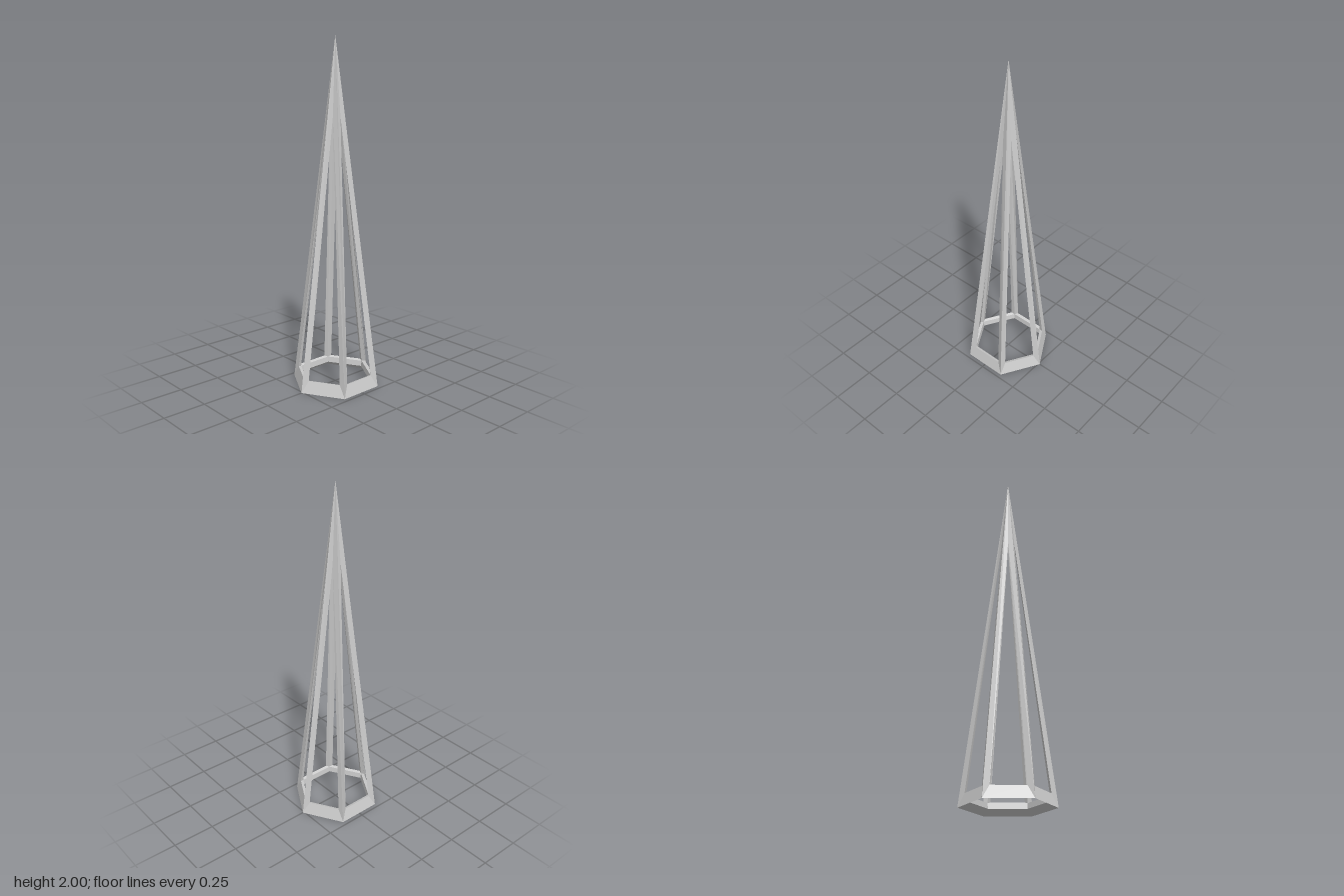
import * as THREE from 'three';

const SIDES = 6;
const STEP = (Math.PI * 2) / SIDES;
const material = new THREE.MeshStandardMaterial({ color: 0xcccccc, flatShading: true });

// Point at a radius and angle around the y axis (angle 0 faces +z)
const polar = (radius, angle, y) =>
  new THREE.Vector3(radius * Math.sin(angle), y, radius * Math.cos(angle));

// Ring of six points
const ring = (radius, y) =>
  Array.from({ length: SIDES }, (_, i) => polar(radius, i * STEP, y));

// Closed band of quads through outer, middle and inner loops of equal length
function frame(name, loops) {
  const positions = [];
  for (let l = 0; l < loops.length - 1; l++) {
    const from = loops[l], to = loops[l + 1], n = from.length;
    for (let i = 0; i < n; i++) {
      const j = (i + 1) % n;
      for (const p of [from[i], from[j], to[j], from[i], to[j], to[i]]) positions.push(p.x, p.y, p.z);
    }
  }
  const geometry = new THREE.BufferGeometry();
  geometry.setAttribute('position', new THREE.Float32BufferAttribute(positions, 3));
  geometry.computeVertexNormals();
  const mesh = new THREE.Mesh(geometry, material);
  mesh.name = name;
  return mesh;
}

export function createModel() {
  const group = new THREE.Group();
  group.name = 'hexagonalSpireFrame';

  // Outer and inner ridge lines of the bars
  const outer = ring(0.26, 0), inner = ring(0.216, 0.064);
  const outerTip = new THREE.Vector3(0, 2, 0), innerTip = new THREE.Vector3(0, 1.9, 0);

  // Six triangular side openings, each framed by half of two legs and the base rail
  for (let i = 0; i < SIDES; i++) {
    const j = (i + 1) % SIDES;
    const middle = (i + 0.5) * STEP;
    const corner = (side) => polar(0.204, middle, 0.07).add(polar(0.093 * side, middle + Math.PI / 2, 0));
    const opening = [corner(-1), corner(1), polar(0.043, middle, 1.56)];
    group.add(frame('sideFrame' + (i + 1), [
      [outer[i], outer[j], outerTip],
      opening,
      [inner[i], inner[j], innerTip],
    ]));
  }

  // Underside of the base rail, around the hexagonal opening
  group.add(frame('baseFrame', [outer, ring(0.211, 0.032), inner].map((loop) => [...loop].reverse())));

  return group;
}
